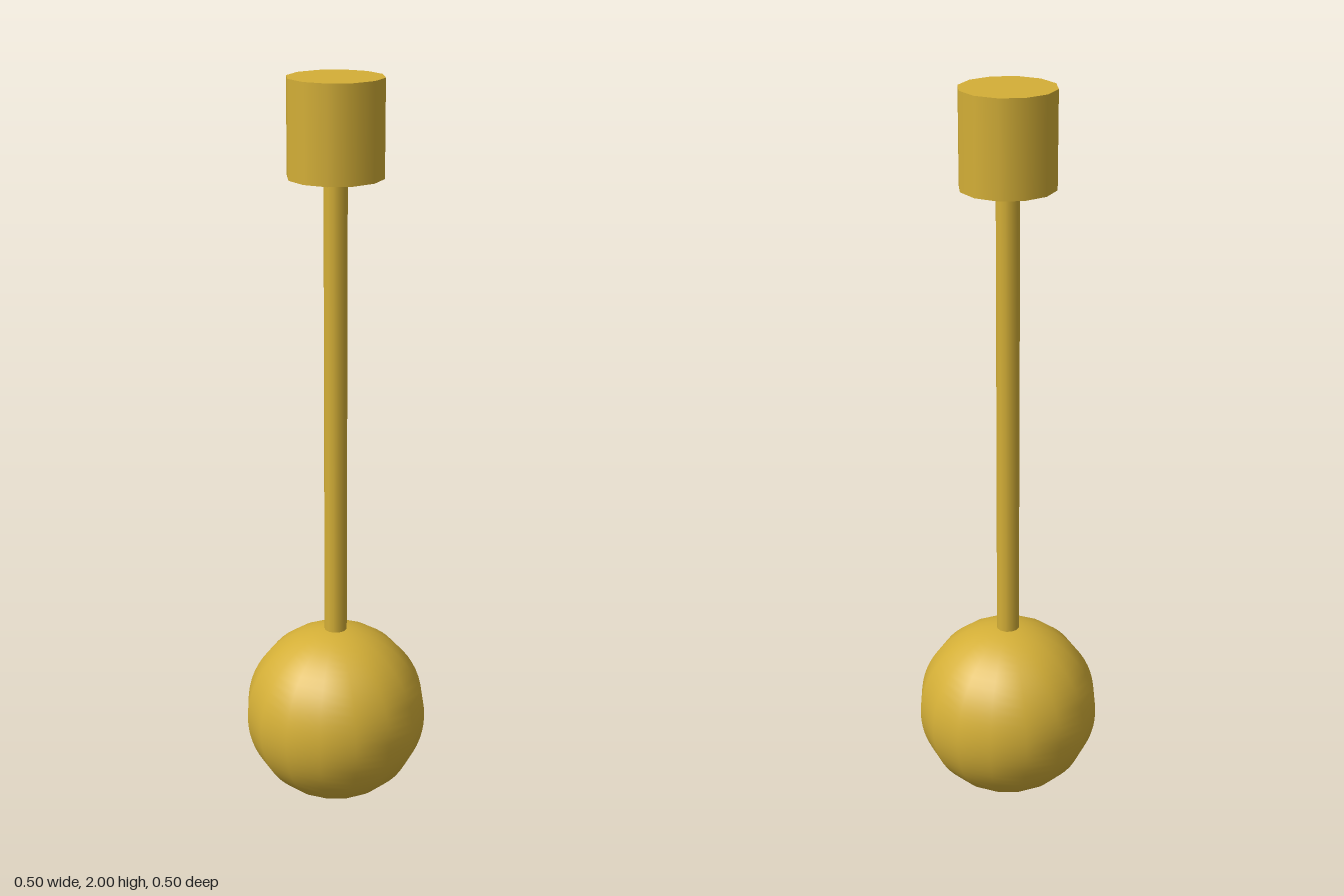
import * as THREE from 'three';

export function createModel() {
  const group = new THREE.Group();
  const brass = new THREE.MeshStandardMaterial({ color: 0xd4af37 });

  const add = (name, geometry, y) => {
    const mesh = new THREE.Mesh(geometry, brass);
    mesh.name = name;
    mesh.position.y = y;
    group.add(mesh);
  };

  // Ball at the foot
  add('ball', new THREE.SphereGeometry(0.25, 16, 32), 0.25);
  // Slim rod standing on the ball
  add('rod', new THREE.CylinderGeometry(0.031, 0.031, 1.25, 12), 1.125);
  // Twelve-sided cap on top
  add('cap', new THREE.CylinderGeometry(0.125, 0.125, 0.25, 12), 1.875);

  return group;
}
